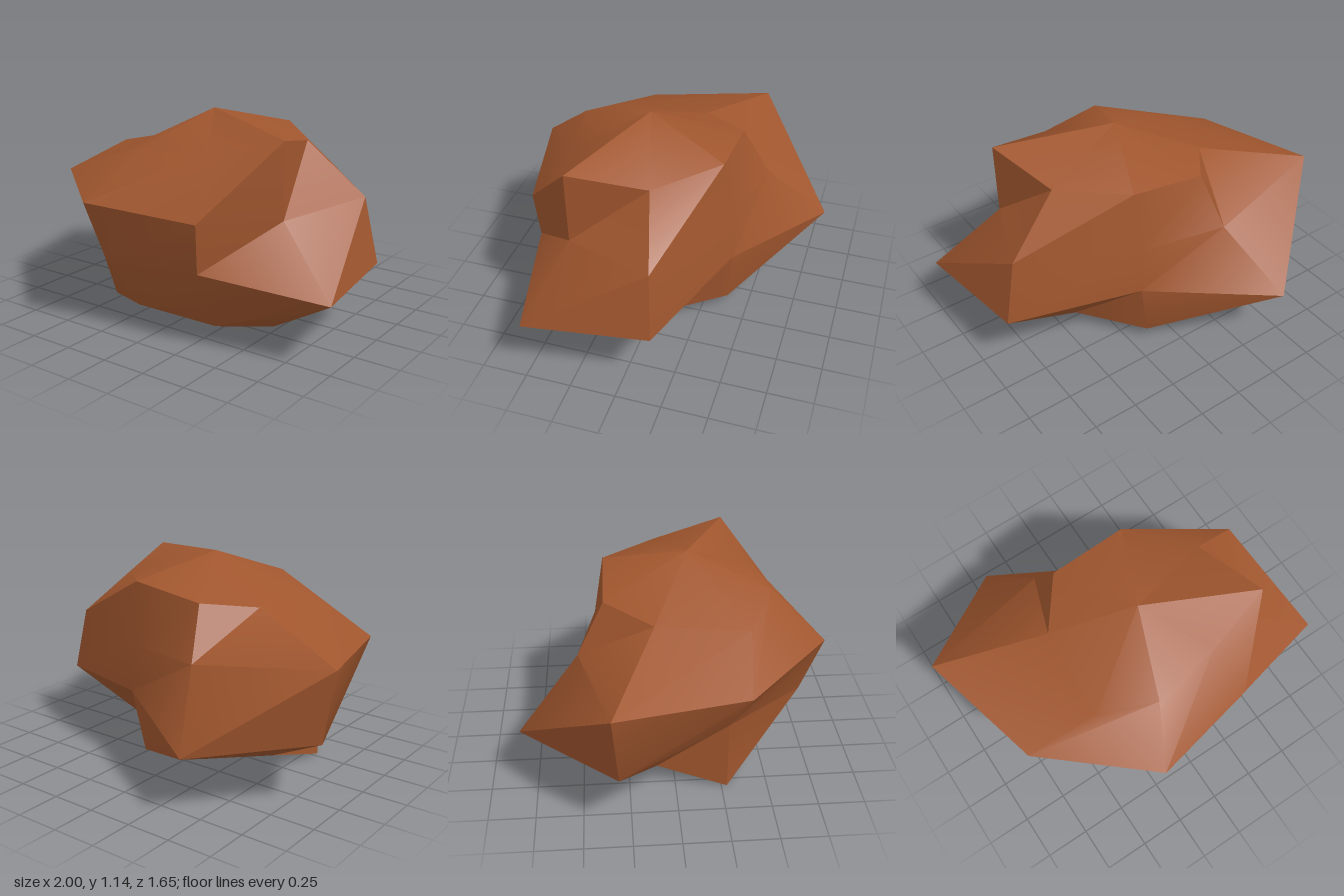
import * as THREE from 'three';
import { toCreasedNormals } from 'three/addons/utils/BufferGeometryUtils.js';

// Craggy boulder: four eight-sided cross-sections closed by a peak and a base point
const PEAK = [0.03, 1.145, 0.1];
const BASE = [0.03, 0.015, 0.1];

// Each section runs from -x past +z, +x and -z
const SHOULDER = [
  [-0.42, 0.89, 0.4], [-0.13, 0.98, 0.54], [0.25, 0.98, 0.47], [0.635, 1.08, 0.36],
  [0.525, 1.0, -0.05], [0.23, 1.025, -0.355], [-0.2, 0.97, -0.36], [-0.4, 0.925, -0.1],
];
const UPPER = [
  [-0.82, 0.735, 0.355], [-0.27, 0.73, 0.825], [0.34, 0.685, 0.69], [0.635, 0.675, 0.355],
  [0.83, 0.72, -0.14], [0.22, 0.69, -0.41], [-0.26, 0.69, -0.505], [-1, 0.765, -0.34],
];
const LOWER = [
  [-0.57, 0.41, 0.28], [-0.24, 0.41, 0.71], [0.33, 0.42, 0.665], [0.995, 0.355, 0.505],
  [0.905, 0.36, -0.165], [0.225, 0.42, -0.42], [-0.44, 0.335, -0.83], [-0.92, 0.355, -0.31],
];
const FOOT = [
  [-0.56, 0, 0.28], [-0.15, 0.11, 0.55], [0.31, 0.075, 0.48], [0.57, 0.085, 0.33],
  [0.42, 0.08, -0.05], [0.16, 0.075, -0.39], [-0.22, 0.1, -0.34], [-0.5, 0.11, -0.1],
];

function loftSections(sections, top, bottom) {
  const n = sections[0].length;
  const last = sections.length - 1;
  const points = [top, ...sections.flat(), bottom];
  const at = (row, i) => 1 + row * n + (i % n);
  const index = [];
  for (let i = 0; i < n; i++) {
    // Top fan
    index.push(0, at(0, i), at(0, i + 1));
    // Side panels, split from lower left to upper right
    for (let row = 0; row < last; row++) {
      const ul = at(row, i), ur = at(row, i + 1);
      const ll = at(row + 1, i), lr = at(row + 1, i + 1);
      index.push(ul, ll, ur, ll, lr, ur);
    }
    // Bottom fan
    index.push(points.length - 1, at(last, i + 1), at(last, i));
  }
  const geometry = new THREE.BufferGeometry();
  geometry.setAttribute('position', new THREE.Float32BufferAttribute(points.flat(), 3));
  geometry.setIndex(index);
  return geometry;
}

export function createModel() {
  const stone = new THREE.MeshStandardMaterial({ color: 0xa0562e });
  stone.name = 'reddish brown stone';

  const geometry = toCreasedNormals(loftSections([SHOULDER, UPPER, LOWER, FOOT], PEAK, BASE), 0.6);
  const boulder = new THREE.Mesh(geometry, stone);
  boulder.name = 'boulder';

  const model = new THREE.Group();
  model.name = 'rock';
  model.add(boulder);
  return model;
}
